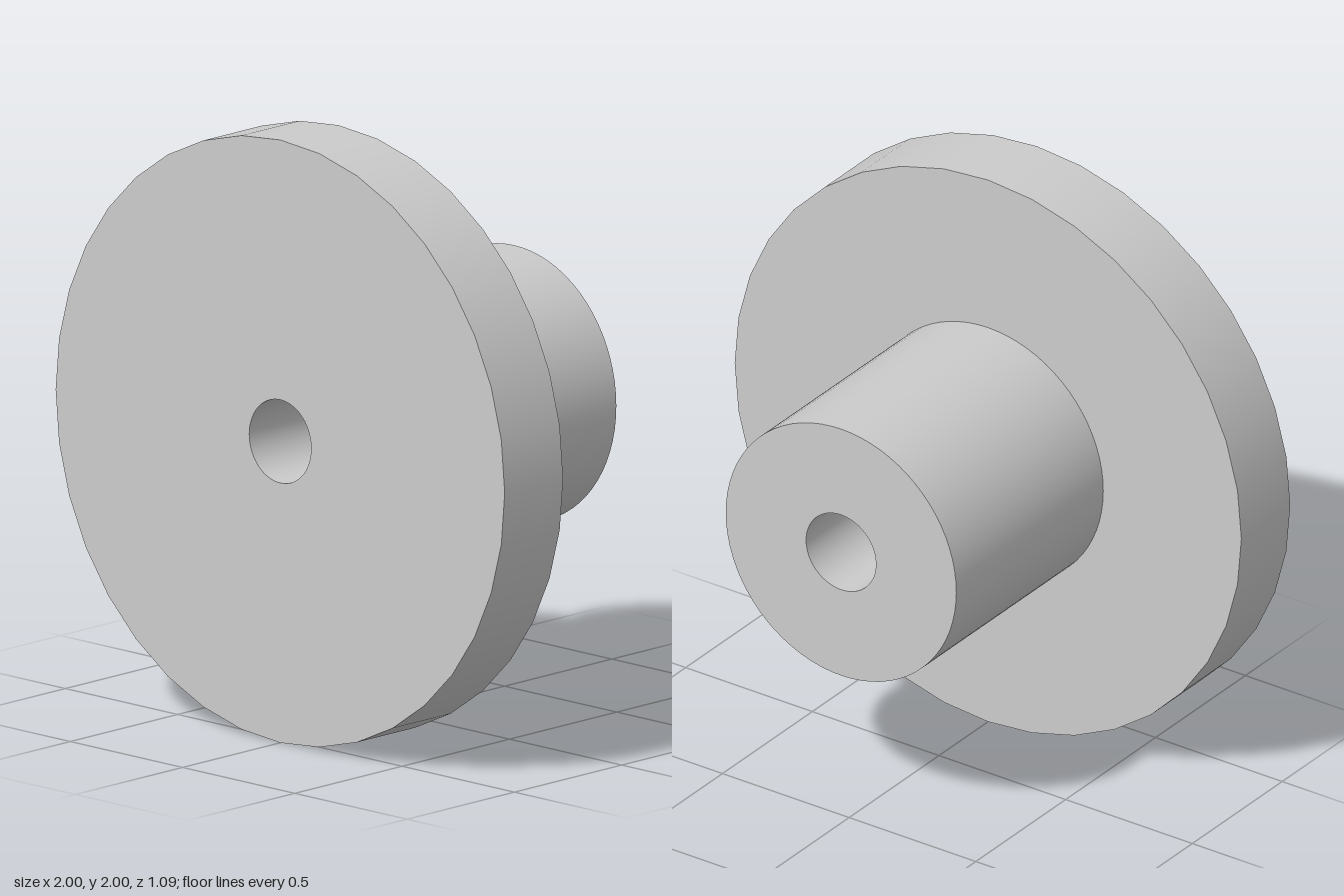
import * as THREE from 'three';

const DISC_R = 1, HUB_R = 0.455, BORE_R = 0.138;
const FRONT = 0.545, STEP = 0.273, BACK = -0.545;
const DISC_SIDES = 36, ROUND_SIDES = 72;

// Points of a regular polygon that line up with the lathed walls
function circle(radius, sides) {
  return Array.from({ length: sides }, (_, i) => {
    const a = (i / sides) * Math.PI * 2;
    return new THREE.Vector2(radius * Math.sin(a), -radius * Math.cos(a));
  });
}

// Smooth wall along z; running from high z to low z turns it inward
function wall(radius, zStart, zEnd, sides) {
  const profile = [new THREE.Vector2(radius, zStart), new THREE.Vector2(radius, zEnd)];
  return new THREE.LatheGeometry(profile, sides).rotateX(Math.PI / 2);
}

// Flat ring facing forward (+z) or backward (-z)
function ring(outer, outerSides, inner, z, backward = false) {
  const shape = new THREE.Shape(circle(outer, outerSides));
  shape.holes.push(new THREE.Path(circle(inner, ROUND_SIDES)));
  const geometry = new THREE.ShapeGeometry(shape);
  if (backward) geometry.rotateY(Math.PI);
  return geometry.translate(0, 0, z);
}

export function createModel() {
  const model = new THREE.Group();
  model.name = 'flangedHub';
  const material = new THREE.MeshStandardMaterial({ color: 0xcccccc });

  function addPart(name, surfaces) {
    const part = new THREE.Group();
    part.name = name;
    for (const [surfaceName, geometry] of Object.entries(surfaces)) {
      const mesh = new THREE.Mesh(geometry, material);
      mesh.name = surfaceName;
      part.add(mesh);
    }
    model.add(part);
  }

  // Wide front disc
  addPart('disc', {
    discFront: ring(DISC_R, DISC_SIDES, BORE_R, FRONT),
    discRim: wall(DISC_R, STEP, FRONT, DISC_SIDES),
    discBack: ring(DISC_R, DISC_SIDES, HUB_R, STEP, true),
  });

  // Hub behind the disc
  addPart('hub', {
    hubWall: wall(HUB_R, BACK, STEP, ROUND_SIDES),
    hubEnd: ring(HUB_R, ROUND_SIDES, BORE_R, BACK, true),
  });

  // Through hole
  addPart('bore', { boreWall: wall(BORE_R, FRONT, BACK, ROUND_SIDES) });

  model.position.y = DISC_R;
  return model;
}
